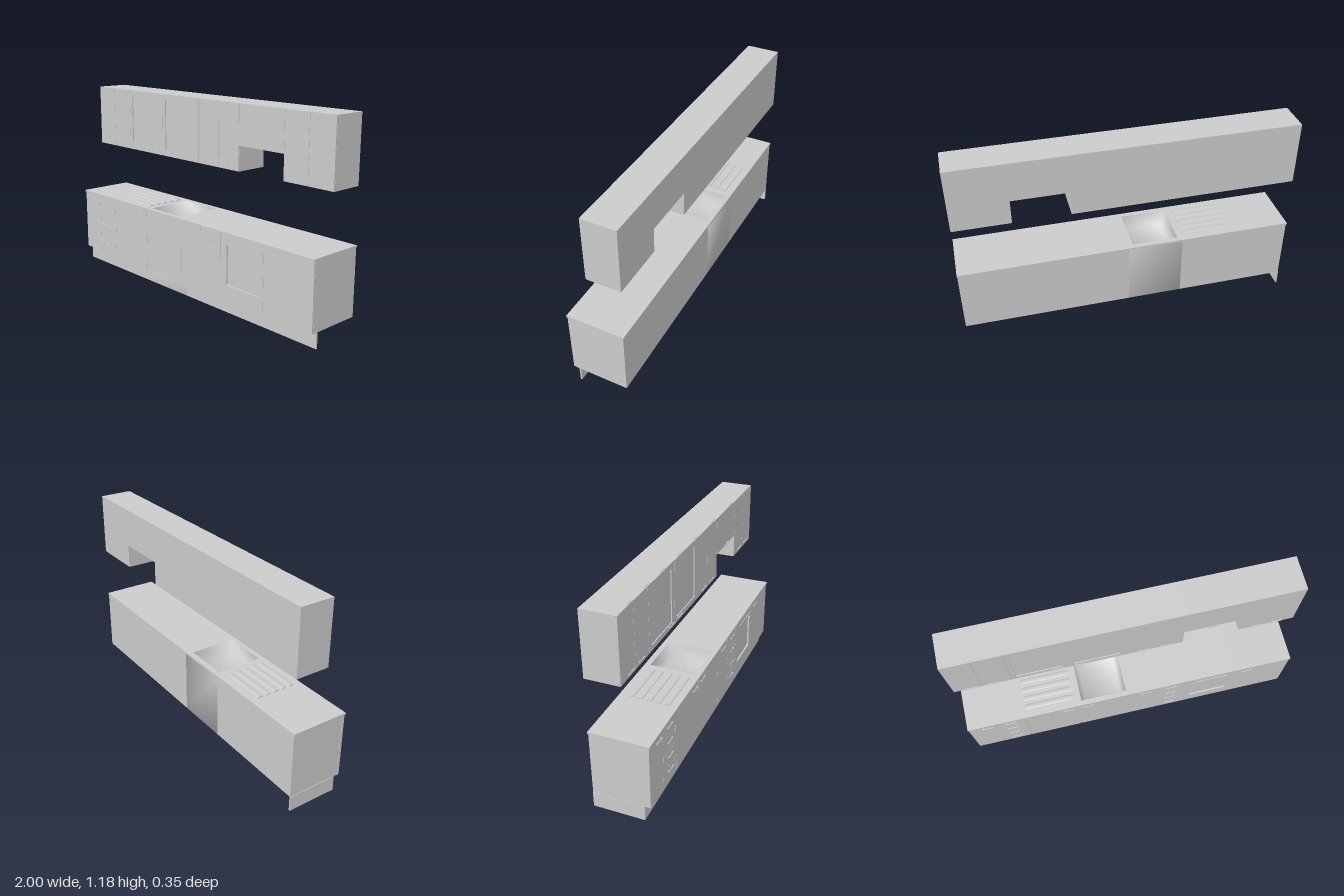
import * as THREE from 'three';
import { mergeVertices } from 'three/addons/utils/BufferGeometryUtils.js';

const grey = new THREE.MeshStandardMaterial({ color: 0xcccccc });
const greyTwoSided = new THREE.MeshStandardMaterial({ color: 0xcccccc, side: THREE.DoubleSide });

const BACK = -0.17, GAP = 0.0008;

function add(parent, name, geometry, material = grey) {
  const mesh = new THREE.Mesh(geometry, material);
  mesh.name = name;
  parent.add(mesh);
  return mesh;
}

// Box given by its limits along each axis
function boxGeometry(x0, x1, y0, y1, z0, z1) {
  return new THREE.BoxGeometry(x1 - x0, y1 - y0, z1 - z0)
    .translate((x0 + x1) / 2, (y0 + y1) / 2, (z0 + z1) / 2);
}
const box = (parent, name, ...limits) => add(parent, name, boxGeometry(...limits));

// Share corners between faces so the shading is smooth
function soften(geometry) {
  geometry.deleteAttribute('normal');
  geometry.deleteAttribute('uv');
  const merged = mergeVertices(geometry);
  merged.computeVertexNormals();
  return merged;
}

// Remove the top face of a box
function openTop(geometry) {
  const index = Array.from(geometry.index.array);
  index.splice(12, 6);
  geometry.setIndex(index);
  geometry.clearGroups();
  return geometry;
}

function rectangle(path, x0, x1, y0, y1, r = 0) {
  path.moveTo(x0 + r, y0);
  path.lineTo(x1 - r, y0);
  if (r) path.quadraticCurveTo(x1, y0, x1, y0 + r);
  path.lineTo(x1, y1 - r);
  if (r) path.quadraticCurveTo(x1, y1, x1 - r, y1);
  path.lineTo(x0 + r, y1);
  if (r) path.quadraticCurveTo(x0, y1, x0, y1 - r);
  path.lineTo(x0, y0 + r);
  if (r) path.quadraticCurveTo(x0, y0, x0 + r, y0);
  return path;
}

// Door or drawer front, optionally with a recessed window [x0, x1, y0, y1]
function front(parent, name, x0, x1, y0, y1, z0, z1, pane) {
  const limits = [x0 + GAP, x1 - GAP, y0 + GAP, y1 - GAP];
  if (!pane) return box(parent, name, ...limits, z0, z1);
  const shape = rectangle(new THREE.Shape(), ...limits);
  shape.holes.push(rectangle(new THREE.Path(), ...pane, 0.008));
  const geometry = new THREE.ExtrudeGeometry(shape, { depth: z1 - z0, bevelEnabled: false, curveSegments: 4 });
  add(parent, name, geometry.translate(0, 0, z0));
  box(parent, name + 'Pane', ...pane, z0, z0 + 0.002);
}

// Thin bar handle on two posts
function handle(parent, x, y, z, length = 0.065) {
  const group = new THREE.Group();
  group.name = 'handle';
  group.position.set(x, y, z);
  box(group, 'bar', -length / 2, length / 2, -0.003, 0.003, 0.006, 0.01);
  for (const s of [-1, 1]) {
    const px = s * (length / 2 - 0.006);
    box(group, 'post', px - 0.002, px + 0.002, -0.002, 0.002, 0, 0.007);
  }
  parent.add(group);
}

function createBaseUnits() {
  const base = new THREE.Group();
  base.name = 'baseUnits';
  const y0 = 0.09, y1 = 0.475, zBody = 0.153, zFront = 0.165;

  // Carcasses; the sink cabinet is open under the basin
  for (const [a, b] of [[-0.995, -0.33], [0, 0.33], [0.33, 0.66], [0.66, 0.998]])
    box(base, 'cabinet', a, b, y0, y1, BACK, zBody);
  add(base, 'sinkCabinet', soften(openTop(boxGeometry(-0.33, 0, y0, y1, BACK, zBody))), greyTwoSided);

  // Plinth boards with one return along the right end
  box(base, 'plinth', -0.998, -0.33, 0, y0, 0.12, 0.13);
  add(base, 'sinkPlinth', soften(boxGeometry(-0.33, 0, 0, y0, 0.12, 0.13)));
  box(base, 'plinth', 0, 0.998, 0, y0, 0.12, 0.13);
  box(base, 'plinthReturn', -0.998, -0.99, 0, y0, BACK, 0.12);

  // Doors
  for (const [a, b] of [[-0.998, -0.83], [-0.66, -0.33], [-0.33, 0], [0, 0.165], [0.66, 0.998]])
    front(base, 'door', a, b, y0, y1, zBody, zFront);
  for (const x of [-0.885, -0.39, -0.27, 0.09, 0.725]) handle(base, x, 0.445, zFront);

  // Drawer stacks
  const edges = [0.475, 0.38, 0.285, 0.19, 0.09];
  for (const [a, b] of [[-0.83, -0.66], [0.165, 0.33]]) {
    for (let i = 0; i < 4; i++) {
      front(base, 'drawer', a, b, edges[i + 1], edges[i], zBody, zFront);
      handle(base, (a + b) / 2, 0.445 - i * 0.095, zFront);
    }
  }

  // Oven
  front(base, 'ovenDoor', 0.33, 0.66, y0, y1, zBody, zFront, [0.38, 0.62, 0.18, 0.415]);
  handle(base, 0.5, 0.445, zFront, 0.2);
  return base;
}

function createWorktop() {
  const top = new THREE.Group();
  top.name = 'worktop';
  const y0 = 0.475, y1 = 0.487, z0 = -0.173, z1 = 0.17;
  for (const [a, b] of [[-1, -0.66], [0, 0.33], [0.33, 0.66], [0.66, 1]])
    box(top, 'worktopSlab', a, b, y0, y1, z0, z1);

  // Sink top with the basin opening
  const [bx0, bx1, bz] = [-0.305, -0.03, 0.14];
  const shape = rectangle(new THREE.Shape(), -0.66, 0, -z1, -z0);
  shape.holes.push(rectangle(new THREE.Path(), bx0, bx1, -bz, bz));
  const slab = new THREE.ExtrudeGeometry(shape, { depth: y1 - y0, bevelEnabled: false });
  add(top, 'sinkTop', slab.rotateX(-Math.PI / 2).translate(0, y0, 0));

  // Basin tapers toward its floor
  const basin = openTop(new THREE.BoxGeometry(bx1 - bx0, 0.085, 2 * bz));
  const p = basin.attributes.position;
  for (let i = 0; i < p.count; i++)
    if (p.getY(i) < 0) p.setXYZ(i, p.getX(i) * 0.8, p.getY(i), p.getZ(i) * 0.8);
  basin.translate((bx0 + bx1) / 2, y1 - 0.0425, 0);
  add(top, 'basin', soften(basin), greyTwoSided);
  const drain = new THREE.CylinderGeometry(0.014, 0.014, 0.003, 16);
  add(top, 'drain', drain.translate((bx0 + bx1) / 2, y1 - 0.083, 0));

  // Draining board ridges
  for (let i = -2; i <= 2; i++) {
    const ridge = new THREE.CylinderGeometry(1, 1, 0.29, 16).rotateZ(Math.PI / 2).scale(1, 0.006, 0.018);
    add(top, 'drainerRidge', ridge.translate(-0.495, y1, i * 0.053));
  }
  return top;
}

function createWallUnits() {
  const wall = new THREE.Group();
  wall.name = 'wallUnits';
  const low = 0.8, hood = 0.945, high = 1.18, zBody = 0.02, zFront = 0.028;

  // Carcasses, with a shorter one above the cooker
  for (const [a, b, y] of [[-0.99, 0.33, low], [0.33, 0.66, hood], [0.66, 0.99, low]])
    box(wall, 'wallCabinet', a, b, y, high, -0.173, zBody);

  // Doors, two of them with windows
  const edges = [-0.99, -0.825, -0.66, -0.33, 0, 0.165, 0.33, 0.66, 0.825, 0.99];
  const panes = { 2: [-0.635, -0.37, 0.832, 1.147], 3: [-0.305, -0.04, 0.832, 1.147] };
  for (let i = 0; i < edges.length - 1; i++)
    front(wall, 'wallDoor', edges[i], edges[i + 1], i === 6 ? hood : low, high, zBody, zFront, panes[i]);

  for (const x of [-0.885, -0.765, -0.39, -0.27, 0.1, 0.225, 0.765, 0.885]) handle(wall, x, 0.825, zFront);
  handle(wall, 0.495, 0.957, zFront);
  return wall;
}

export function createModel() {
  const model = new THREE.Group();
  model.name = 'kitchen';
  model.add(createBaseUnits(), createWorktop(), createWallUnits());
  return model;
}
